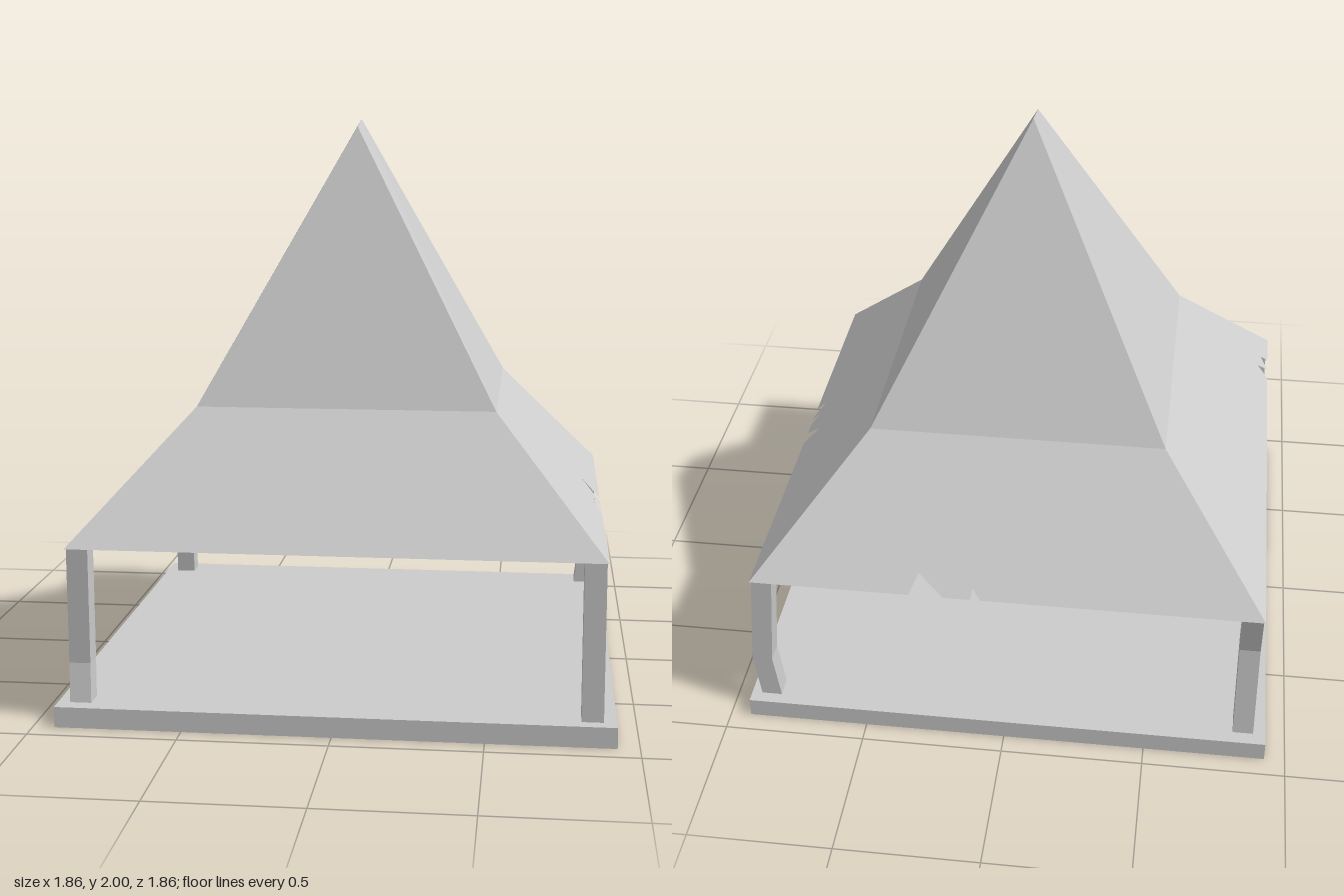
import * as THREE from 'three';

const EAVE = 0.89, EAVE_Y = 0.6, MID = 0.515, MID_Y = 1.02;

export function createModel() {
  const group = new THREE.Group();
  const grey = new THREE.MeshStandardMaterial({ color: 0xcccccc, side: THREE.DoubleSide, flatShading: true });
  grey.name = 'plainGrey';
  const add = (name, geometry) => {
    const mesh = new THREE.Mesh(geometry, grey);
    mesh.name = name;
    group.add(mesh);
    return mesh;
  };

  // Floor: a shallow box left open underneath
  const floor = new THREE.BoxGeometry(1.855, 0.07, 1.855);
  const index = Array.from(floor.index.array);
  index.splice(18, 6);
  floor.setIndex(index);
  floor.clearGroups();
  floor.translate(0, 0.035, 0);
  add('floor', floor);

  // Posts: square timbers, each bent once at height y by (dx, dz)
  const posts = [
    { name: 'frontLeftPost', x: 1, z: 1, y: 0.3, dx: 0, dz: 0 },
    { name: 'frontRightPost', x: -1, z: 1, y: 0.2, dx: -0.008, dz: -0.032 },
    { name: 'backLeftPost', x: 1, z: -1, y: 0.24, dx: 0.028, dz: 0 },
    { name: 'backRightPost', x: -1, z: -1, y: 0.43, dx: 0, dz: 0.04 },
  ];
  for (const p of posts) {
    const g = new THREE.BoxGeometry(0.072, 1, 0.072, 1, 2, 1);
    const pos = g.attributes.position;
    for (let i = 0; i < pos.count; i++) {
      const level = Math.round(pos.getY(i) * 2); // -1 foot, 0 bend, 1 head
      const bend = level === 0 ? 1 : 0;
      pos.setXYZ(i,
        pos.getX(i) + p.x * 0.848 + bend * p.dx,
        [0.02, p.y, EAVE_Y][level + 1],
        pos.getZ(i) + p.z * 0.848 + bend * p.dz);
    }
    g.computeVertexNormals();
    add(p.name, g);
  }

  // Lower roof: four flared panels; notches are [along eave, depth inward]
  const panels = [
    { name: 'frontEave', turn: 0, notches: [] },
    { name: 'leftEave', turn: Math.PI / 2, notches: [
      [-0.15, 0], [-0.149, 0.036], [-0.115, 0], [-0.09, 0], [-0.089, 0.036], [-0.055, 0],
      [0, 0], [0.064, 0.068], [0.065, 0]] },
    { name: 'backEave', turn: Math.PI, notches: [
      [-0.33, 0], [-0.3, 0.052], [-0.21, 0], [-0.115, 0], [-0.11, 0.026], [-0.08, 0]] },
    { name: 'rightEave', turn: -Math.PI / 2, notches: [
      [0.6, 0], [0.62, 0.042], [0.665, 0], [0.705, 0.03], [0.74, 0]] },
  ];
  const depth = EAVE - MID;
  for (const panel of panels) {
    const outline = [[-EAVE, 0], ...panel.notches, [EAVE, 0], [MID, depth], [-MID, depth]];
    const g = new THREE.ShapeGeometry(new THREE.Shape(outline.map(([u, v]) => new THREE.Vector2(u, v))));
    const pos = g.attributes.position;
    for (let i = 0; i < pos.count; i++) {
      const v = pos.getY(i);
      pos.setXYZ(i, pos.getX(i), EAVE_Y + (v * (MID_Y - EAVE_Y)) / depth, EAVE - v);
    }
    g.computeVertexNormals();
    g.rotateY(panel.turn);
    add(panel.name, g);
  }

  // Upper roof: steep faces rising to a short sloping ridge
  const A = [-MID, MID_Y, MID], B = [MID, MID_Y, MID];
  const C = [MID, MID_Y, -MID], D = [-MID, MID_Y, -MID];
  const ridgeFront = [0, 1.973, 0.115], ridgeBack = [0, 2, -0.02];
  const faces = [
    [A, B, ridgeFront],
    [B, C, ridgeBack], [B, ridgeBack, ridgeFront],
    [C, D, ridgeBack],
    [D, A, ridgeBack], [A, ridgeFront, ridgeBack],
  ];
  const spire = new THREE.BufferGeometry();
  spire.setAttribute('position', new THREE.Float32BufferAttribute(faces.flat(2), 3));
  spire.computeVertexNormals();
  add('upperRoof', spire);

  return group;
}
